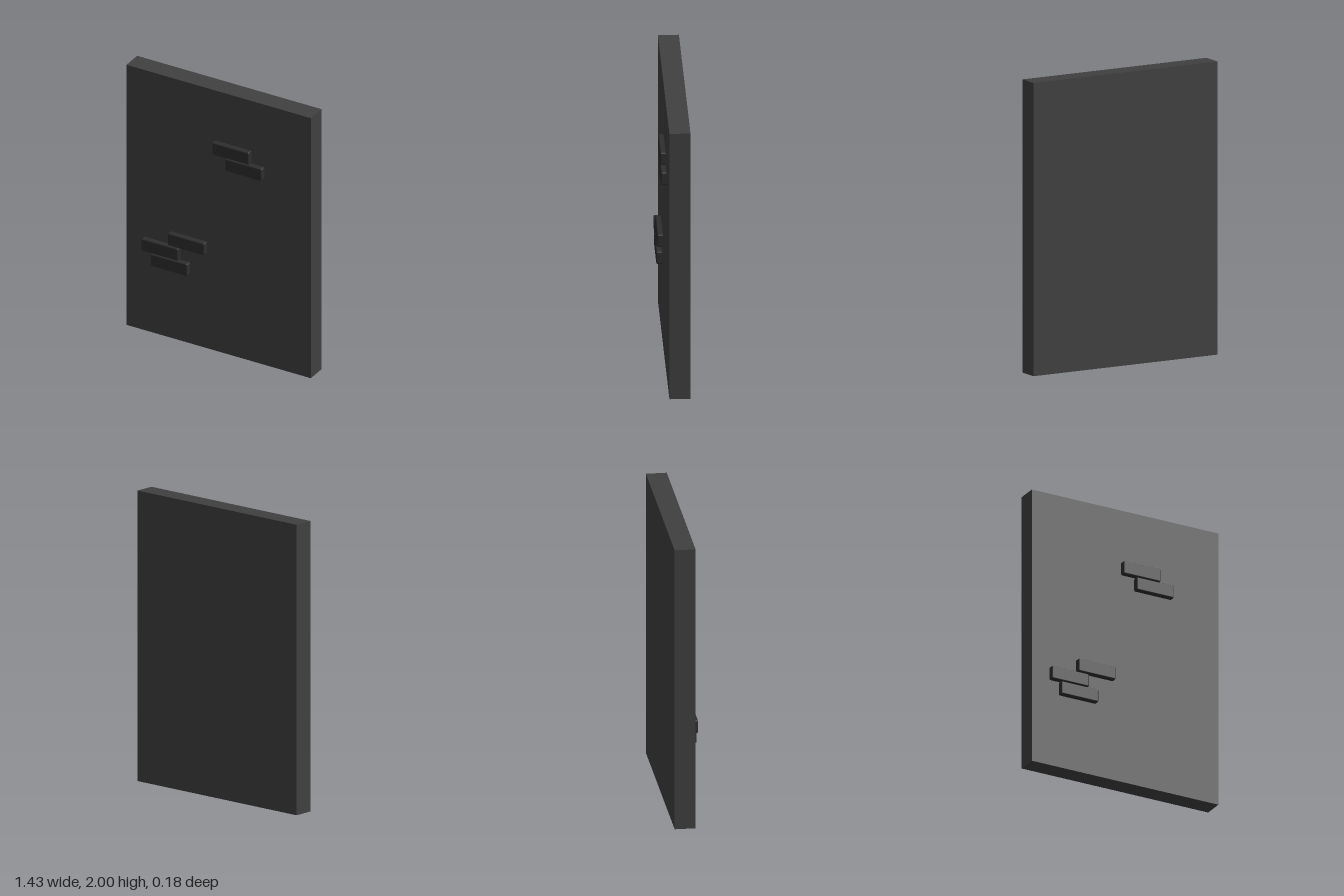
import * as THREE from 'three';
import { RoundedBoxGeometry } from 'three/addons/geometries/RoundedBoxGeometry.js';

export function createModel() {
  const group = new THREE.Group();
  const wallMaterial = new THREE.MeshStandardMaterial({ color: 0x404040 });
  const brickMaterial = new THREE.MeshStandardMaterial({ color: 0x2e2e2e });

  // Plain wall slab
  const back = -0.089, face = 0.052, front = 0.089;
  const wall = new THREE.Mesh(new THREE.BoxGeometry(1.428, 2, face - back), wallMaterial);
  wall.name = 'wall';
  wall.position.set(0, 1, (face + back) / 2);
  group.add(wall);

  // Raised bricks with softened edges, set partly into the wall
  const depth = 0.08;
  const brickGeometry = new RoundedBoxGeometry(0.285, 0.093, depth, 2, 0.009);
  const clusters = {
    upperBricks: [[0.111, 1.57], [0.212, 1.473]],
    lowerBricks: [[-0.233, 0.773], [-0.437, 0.673], [-0.365, 0.576]],
  };
  for (const [name, centres] of Object.entries(clusters)) {
    const cluster = new THREE.Group();
    cluster.name = name;
    for (const [x, y] of centres) {
      const brick = new THREE.Mesh(brickGeometry, brickMaterial);
      brick.name = 'brick';
      brick.position.set(x, y, front - depth / 2);
      cluster.add(brick);
    }
    group.add(cluster);
  }
  return group;
}
